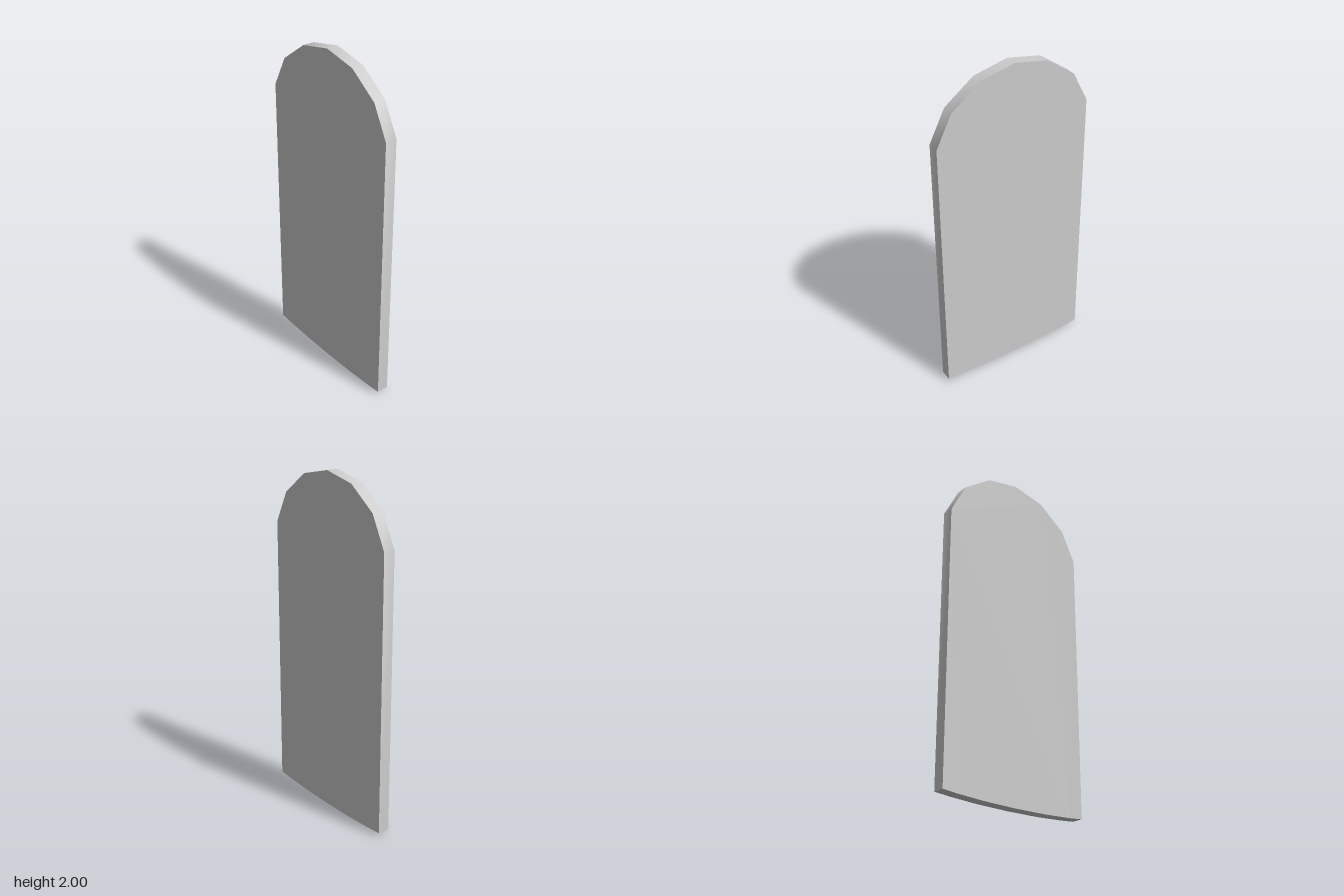
import * as THREE from 'three';
import { toCreasedNormals } from 'three/addons/utils/BufferGeometryUtils.js';

const THICKNESS = 0.07;

export function createModel() {
  const group = new THREE.Group();
  group.name = 'archedPanel';

  // Right half of the outline, from bottom centre up to the crown
  const half = [
    [0, 0], [0.205, 0.003], [0.38, 0.012], [0.475, 0.02],
    [0.475, 1.645], [0.38, 1.83], [0.205, 1.957], [0, 2],
  ];
  // Mirror it, without repeating the two centre points
  const mirrored = half.slice(1, -1).reverse().map(([x, y]) => [-x, y]);
  const outline = [...half, ...mirrored].map(([x, y]) => new THREE.Vector2(x, y));

  // Flat slab with a smoothly shaded rim and sharp face edges
  const slab = new THREE.ExtrudeGeometry(new THREE.Shape(outline), {
    depth: THICKNESS, bevelEnabled: false,
  });
  slab.translate(0, 0, -THICKNESS / 2);

  const panel = new THREE.Mesh(
    toCreasedNormals(slab, Math.PI / 4),
    new THREE.MeshStandardMaterial({ color: 0xcccccc }),
  );
  panel.name = 'panel';
  group.add(panel);
  return group;
}
